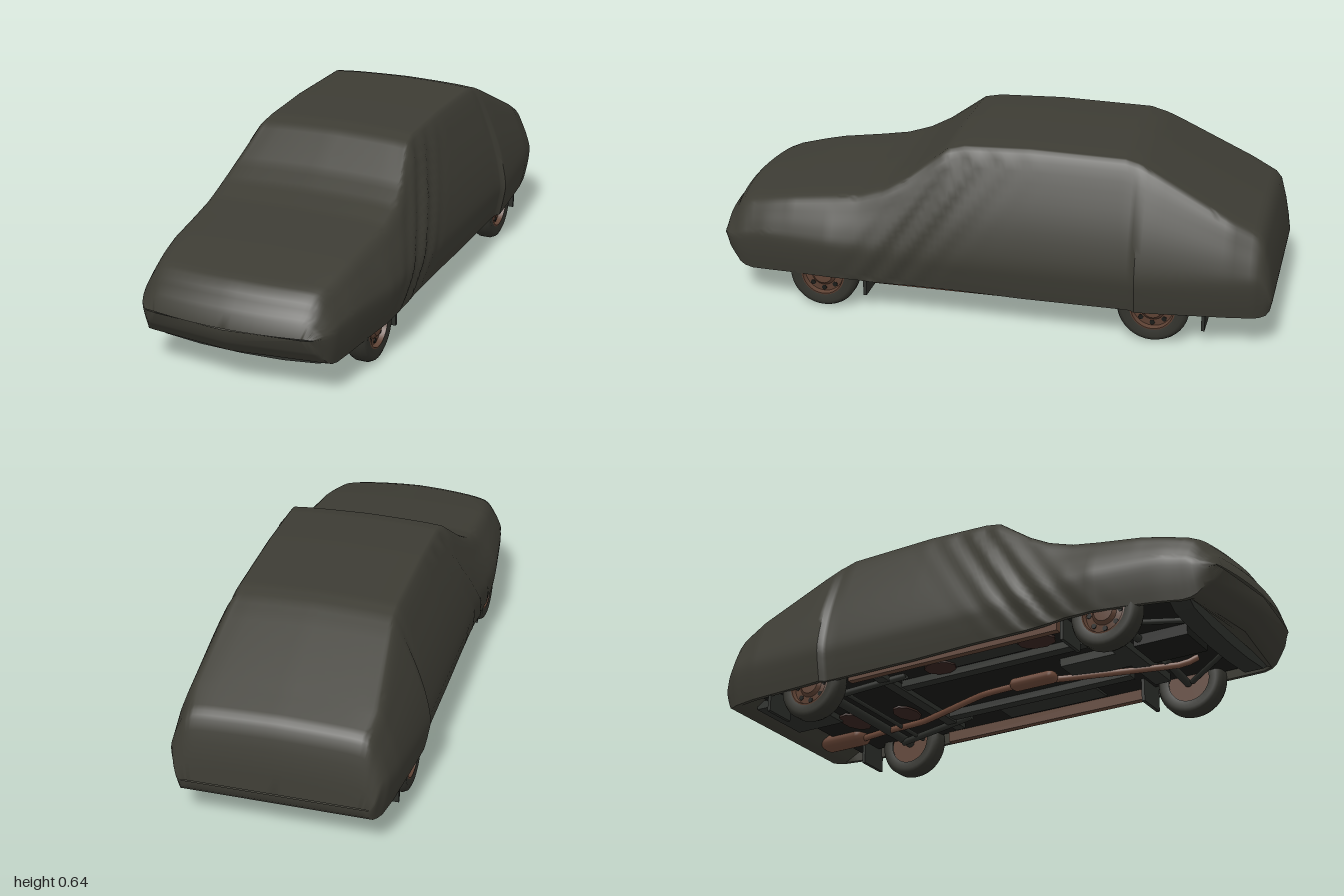
import * as THREE from 'three';
import { toCreasedNormals } from 'three/addons/utils/BufferGeometryUtils.js';

const mat = (name, color, side = THREE.FrontSide) => {
  const m = new THREE.MeshStandardMaterial({ color, side });
  m.name = name;
  return m;
};

// Cover stations along z: [z, top y, shoulder half width, greatest half width, bottom y]
const STATIONS = [
  [1.0, 0.226, 0.27, 0.30, 0.222], [0.985, 0.275, 0.28, 0.32, 0.175],
  [0.965, 0.30, 0.29, 0.335, 0.15], [0.945, 0.335, 0.295, 0.345, 0.125],
  [0.925, 0.357, 0.295, 0.35, 0.115], [0.89, 0.37, 0.30, 0.355, 0.11],
  [0.7, 0.405, 0.32, 0.38, 0.12], [0.55, 0.425, 0.325, 0.40, 0.125],
  [0.45, 0.44, 0.33, 0.40, 0.125], [0.36, 0.47, 0.33, 0.395, 0.12],
  [0.28, 0.515, 0.32, 0.39, 0.12], [0.2, 0.575, 0.30, 0.39, 0.12],
  [0.14, 0.62, 0.287, 0.39, 0.12], [0.08, 0.634, 0.28, 0.39, 0.12],
  [-0.15, 0.643, 0.28, 0.39, 0.115], [-0.48, 0.637, 0.28, 0.39, 0.115],
  [-0.525, 0.625, 0.28, 0.392, 0.115], [-0.54, 0.62, 0.283, 0.405, 0.115],
  [-0.6, 0.592, 0.29, 0.40, 0.115], [-0.85, 0.468, 0.315, 0.38, 0.12],
  [-0.94, 0.424, 0.305, 0.365, 0.12], [-0.96, 0.40, 0.305, 0.355, 0.12],
  [-0.98, 0.33, 0.30, 0.345, 0.125], [-0.993, 0.25, 0.30, 0.335, 0.14],
  [-1.0, 0.175, 0.29, 0.32, 0.171],
];

// One closed cross-section, from the underside middle over the roof and back
function section([z, T, S, W, B]) {
  const h = T - B, c = Math.min(0.025, 0.13 * h), y0 = T - c;
  const yw = Math.min(0.25, B + 0.5 * h);
  const P = (x, y) => new THREE.Vector2(x, y);
  const half = new THREE.SplineCurve([
    P(0, T), P(S * 0.5, T - c * 0.15), P(S * 0.87, T - c * 0.4), P(S, y0),
    P(S + (W - S) * 0.45, y0 + (yw - y0) * 0.33), P(S + (W - S) * 0.8, y0 + (yw - y0) * 0.67),
    P(W, yw), P(W - 0.006, (yw + B) / 2), P(W - 0.02, B),
  ]).getPoints(32);
  // recessed underside, flat near both ends
  const r = 0.04 * THREE.MathUtils.clamp((0.92 - Math.abs(z)) / 0.06, 0, 1);
  half.push(P(W - 0.034, B), P(W - 0.038, B + r), P(0, B + r));
  const bow = 0.05 * THREE.MathUtils.smoothstep(z, 0.75, 0.95);
  const place = (p, s) => {
    // diagonal cloth folds below the windscreen pillars
    const d = z + 0.7 * p.y;
    const fold = p.x > S && p.y > B + 0.005
      ? 0.006 * Math.sin(60 * d) * Math.exp(-(((d - 0.46) / 0.14) ** 2)) : 0;
    return [s * (p.x + fold), p.y, z - bow * (p.x / 0.35) ** 2];
  };
  return [...half.slice().reverse().map(p => place(p, 1)), ...half.slice(1).map(p => place(p, -1))];
}

function coverGeometry() {
  const rings = [];
  STATIONS.forEach((a, i) => {
    const b = STATIONS[i + 1];
    if (!b) return rings.push(section(a));
    const n = Math.ceil((a[0] - b[0]) / 0.02);
    for (let k = 0; k < n; k++) rings.push(section(a.map((v, q) => v + (b[q] - v) * k / n)));
  });
  const n = rings[0].length, index = [];
  for (let i = 0; i < rings.length - 1; i++) {
    for (let j = 0; j < n - 1; j++) {
      const a = i * n + j, b = a + n;
      index.push(a, b, a + 1, a + 1, b, b + 1);
    }
  }
  const g = new THREE.BufferGeometry();
  g.setAttribute('position', new THREE.Float32BufferAttribute(rings.flat(2), 3));
  g.setIndex(index);
  return toCreasedNormals(g, 0.7);
}

export function createModel() {
  const car = new THREE.Group();
  car.name = 'coveredCar';
  const cloth = mat('cover cloth', 0x3d3c34, THREE.DoubleSide);
  const rubber = mat('tyre rubber', 0x32322c);
  const rimMat = mat('rusty rim', 0x5e4234);
  const floorMat = mat('underbody', 0x1a1b18);
  const steel = mat('dark steel', 0x2c2e2a);
  const pipeMat = mat('exhaust', 0x6e4a3a);
  const rust = mat('rust patch', 0x3a2621);

  const add = (name, geo, material, x = 0, y = 0, z = 0, parent = car) => {
    const m = new THREE.Mesh(geo, material);
    m.name = name;
    m.position.set(x, y, z);
    parent.add(m);
    return m;
  };
  const box = (name, w, h, d, material, x, y, z) =>
    add(name, new THREE.BoxGeometry(w, h, d), material, x, y, z);
  const tube = (name, pts, r, material) => {
    const path = new THREE.CatmullRomCurve3(pts.map(p => new THREE.Vector3(...p)), false, 'catmullrom', 0.2);
    return add(name, new THREE.TubeGeometry(path, 40, r, 10), material);
  };

  add('cover', coverGeometry(), cloth);

  // Wheels
  const lathe = pts => new THREE.LatheGeometry(pts.map(p => new THREE.Vector2(...p)), 36);
  const tyreGeo = lathe([[0.078, -0.034], [0.105, -0.038], [0.118, -0.032], [0.125, -0.017],
    [0.125, 0.017], [0.118, 0.032], [0.105, 0.038], [0.078, 0.034]]);
  const rimGeo = toCreasedNormals(lathe([[0.08, 0.034], [0.074, 0.036], [0.07, 0.018], [0.045, 0.022],
    [0.034, 0.034], [0.001, 0.036]]), 0.5);
  const slotGeo = new THREE.CylinderGeometry(0.009, 0.009, 0.004, 10);
  const backGeo = new THREE.CylinderGeometry(0.08, 0.08, 0.02, 24);
  for (const s of [1, -1]) {
    for (const [end, z] of [['front', 0.58], ['rear', -0.6]]) {
      const wheel = new THREE.Group();
      wheel.name = end + (s > 0 ? 'LeftWheel' : 'RightWheel');
      wheel.position.set(0.327 * s, 0.125, z);
      wheel.rotation.z = -s * Math.PI / 2;
      car.add(wheel);
      add('tyre', tyreGeo, rubber, 0, 0, 0, wheel);
      add('rim', rimGeo, rimMat, 0, 0, 0, wheel);
      add('rimBack', backGeo, rimMat, 0, -0.018, 0, wheel);
      for (let k = 0; k < 8; k++) {
        const a = k * Math.PI / 4;
        add('rimSlot', slotGeo, floorMat, 0.057 * Math.cos(a), 0.021, 0.057 * Math.sin(a), wheel);
      }
    }
    // Mud flaps, sills, floor rails and suspension
    box('frontMudFlap', 0.12, 0.1, 0.012, steel, 0.3 * s, 0.11, 0.425);
    box('rearMudFlap', 0.12, 0.1, 0.012, steel, 0.3 * s, 0.11, -0.775);
    box('sill', 0.025, 0.045, 0.84, rimMat, 0.335 * s, 0.128, -0.02);
    box('floorRail', 0.04, 0.03, 0.75, steel, 0.16 * s, 0.135, 0.05);
    box('floorPanel', 0.1, 0.01, 0.4, steel, 0.25 * s, 0.141, 0.05);
    tube('frontArm', [[0.1 * s, 0.13, 0.58], [0.29 * s, 0.11, 0.58]], 0.014, steel);
    tube('frontStrut', [[0.15 * s, 0.13, 0.78], [0.28 * s, 0.11, 0.6]], 0.01, steel);
    tube('trailingArm', [[0.22 * s, 0.14, -0.28], [0.25 * s, 0.11, -0.6]], 0.013, steel);
  }

  // Underbody
  box('floor', 0.66, 0.01, 1.7, floorMat, 0, 0.15, 0);
  box('frontCrossMember', 0.5, 0.03, 0.06, steel, 0, 0.13, 0.5);
  box('gearbox', 0.12, 0.04, 0.25, steel, 0, 0.135, 0.38);
  box('engineSump', 0.16, 0.045, 0.2, floorMat, -0.02, 0.128, 0.66);
  box('rearCrossMember', 0.56, 0.025, 0.04, steel, 0, 0.138, -0.36);
  box('fuelTank', 0.26, 0.03, 0.2, steel, -0.14, 0.137, -0.8);
  tube('rearAxle', [[-0.3, 0.125, -0.6], [0.3, 0.125, -0.6]], 0.018, steel);
  tube('axleBar', [[-0.28, 0.12, -0.53], [0.28, 0.12, -0.53]], 0.008, steel);
  for (const [x, z, w, d] of [[0.03, -0.67, 0.16, 0.1], [-0.25, 0.27, 0.1, 0.14],
    [-0.23, -0.13, 0.1, 0.12], [0.06, -0.46, 0.14, 0.09]]) {
    const patch = add('rustPatch', new THREE.CylinderGeometry(0.5, 0.5, 0.008, 9), rust, x, 0.134, z);
    patch.scale.set(w, 1, d);
  }

  // Front chin below the cover
  const chinShape = new THREE.Shape([[-0.33, 0.13], [-0.28, 0.1], [-0.15, 0.087], [0, 0.083],
    [0.15, 0.087], [0.28, 0.1], [0.33, 0.13]].map(p => new THREE.Vector2(...p)));
  add('chin', new THREE.ExtrudeGeometry(chinShape, { depth: 0.07, bevelEnabled: false }), steel, 0, 0, 0.8);

  // Exhaust
  tube('exhaustPipe', [[0.16, 0.14, 0.68], [0.13, 0.112, 0.62], [0.03, 0.112, 0.22], [0, 0.112, 0.12],
    [0.01, 0.112, -0.1], [0.12, 0.115, -0.42], [0.15, 0.125, -0.6], [0.18, 0.13, -0.75]], 0.012, pipeMat);
  const silencer = (name, r, len, x, y, z) => {
    const m = add(name, new THREE.CapsuleGeometry(r, len, 4, 16), pipeMat, x, y, z);
    m.rotation.x = Math.PI / 2;
    m.scale.x = 1.5;
  };
  silencer('middleSilencer', 0.022, 0.14, 0, 0.115, 0.115);
  silencer('rearSilencer', 0.032, 0.14, 0.18, 0.14, -0.82);
  return car;
}
